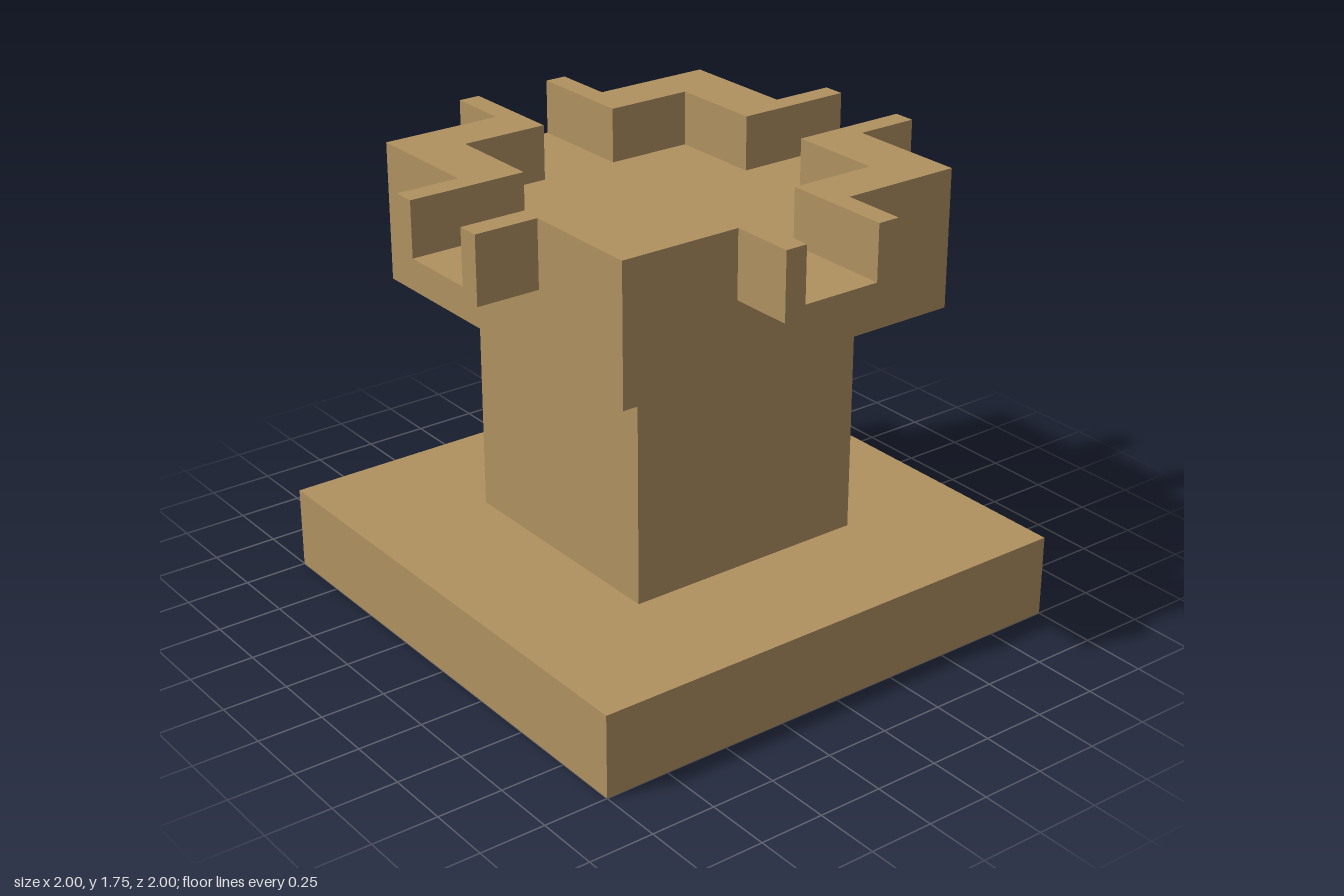
import * as THREE from 'three';

const FLOOR = 1.535, TOP = 1.745;      // basin floor and rim heights
const HEAD = 0.71, REACH = 0.955;      // half width of head, spout tip distance
const SPOUT = 0.24, CHANNEL = 0.155;   // half widths of spout outside and inside

export function createModel() {
  const model = new THREE.Group();
  model.name = 'tower';
  const stone = new THREE.MeshStandardMaterial({ color: 0xb09160 });
  stone.name = 'tan stone';

  const add = (name, geometry) => {
    const mesh = new THREE.Mesh(geometry, stone);
    mesh.name = name;
    model.add(mesh);
    return mesh;
  };
  // Square-based block between two heights
  const block = (name, w, d, y0, y1, x = 0, z = 0) =>
    add(name, new THREE.BoxGeometry(w, y1 - y0, d)).position.set(x, (y0 + y1) / 2, z);

  block('base', 2, 2, 0, 0.32);
  block('column', 0.97, 0.97, 0.32, 1.22);
  block('head', HEAD * 2, HEAD * 2, 1.22, FLOOR);

  // Corner walls of the basin, each with two thin spout sides
  const outline = [
    [CHANNEL, 0.495], [CHANNEL, REACH], [SPOUT, REACH], [SPOUT, HEAD], [HEAD, HEAD],
    [HEAD, SPOUT], [REACH, SPOUT], [REACH, CHANNEL], [0.525, CHANNEL], [0.525, 0.495],
  ];
  for (const sx of [-1, 1]) {
    for (const sz of [-1, 1]) {
      const shape = new THREE.Shape(outline.map(([x, z]) => new THREE.Vector2(x * sx, -z * sz)));
      const wall = new THREE.ExtrudeGeometry(shape, { depth: TOP - FLOOR, bevelEnabled: false });
      wall.rotateX(-Math.PI / 2);
      wall.translate(0, FLOOR, 0);
      add('cornerWall', wall);
    }
  }

  // Spout floors on all four sides
  const length = REACH - HEAD, mid = (REACH + HEAD) / 2;
  for (const s of [-1, 1]) {
    block('sideSpoutFloor', length, SPOUT * 2, 1.49, FLOOR, s * mid, 0);
    block('endSpoutFloor', SPOUT * 2, length, 1.49, FLOOR, 0, s * mid);
  }
  return model;
}
